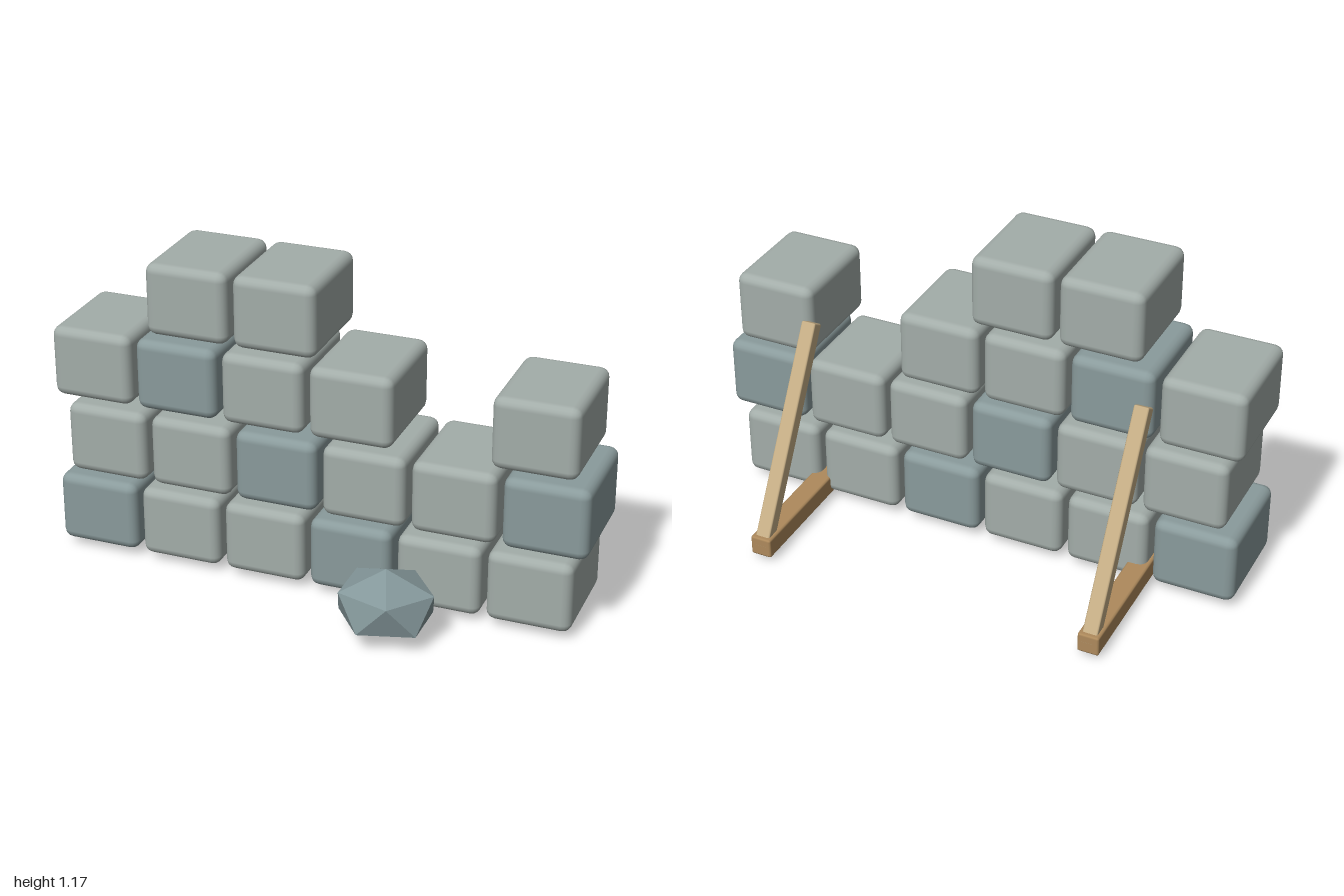
import * as THREE from 'three';
import { RoundedBoxGeometry } from 'three/addons/geometries/RoundedBoxGeometry.js';

const mat = (color, flatShading = false) => new THREE.MeshStandardMaterial({ color, flatShading });

export function createModel() {
  const model = new THREE.Group();
  const stone = mat(0xa3ada9);
  const darkStone = mat(0x8a9b9c);
  const wood = mat(0xae8a5c);
  const paleWood = mat(0xc6ae85);

  const add = (parent, name, geometry, material, x, y, z) => {
    const mesh = new THREE.Mesh(geometry, material);
    mesh.name = name;
    mesh.position.set(x, y, z);
    parent.add(mesh);
    return mesh;
  };

  // Staggered courses: S = stone, D = dark stone, blank = missing block
  const courses = ['DSSDSS', 'SSDSSD', 'SDSS S', ' SS   '];
  const blockGeometry = new RoundedBoxGeometry(0.306, 0.266, 0.398, 2, 0.034);
  const wall = new THREE.Group();
  wall.name = 'wall';
  model.add(wall);
  courses.forEach((course, row) => {
    [...course].forEach((kind, i) => {
      if (kind === ' ') return;
      const x = -0.847 + i * 0.328 + (row % 2) * 0.048;
      add(wall, 'block', blockGeometry, kind === 'D' ? darkStone : stone, x, 0.163 + row * 0.2925, 0.061);
    });
  });

  // Two wooden props behind the wall: a foot beam and a slanted strut
  const top = new THREE.Vector3(0, 0.764, -0.145);
  const bottom = new THREE.Vector3(0, 0.05, -0.56);
  const axis = top.clone().sub(bottom);
  const footGeometry = new RoundedBoxGeometry(0.08, 0.075, 0.565, 1, 0.008);
  const strutGeometry = new RoundedBoxGeometry(0.056, axis.length(), 0.052, 1, 0.006);
  for (const [side, x] of [['left', 0.632], ['right', -0.645]]) {
    const prop = new THREE.Group();
    prop.name = side + 'Prop';
    prop.position.x = x;
    model.add(prop);
    add(prop, 'foot', footGeometry, wood, 0, 0.057, -0.2975);
    const mid = top.clone().add(bottom).multiplyScalar(0.5);
    const strut = add(prop, 'strut', strutGeometry, paleWood, 0, mid.y, mid.z);
    strut.rotation.x = Math.atan2(axis.z, axis.y);
  }

  // Loose faceted rock, one corner pointing straight up
  const rockGeometry = new THREE.IcosahedronGeometry(1, 0);
  rockGeometry.rotateZ(-Math.atan(2 / (1 + Math.sqrt(5))));
  rockGeometry.scale(0.195, 0.131, 0.175);
  add(model, 'rock', rockGeometry, mat(0x84979a, true), 0.34, 0.131, 0.432);

  return model;
}
